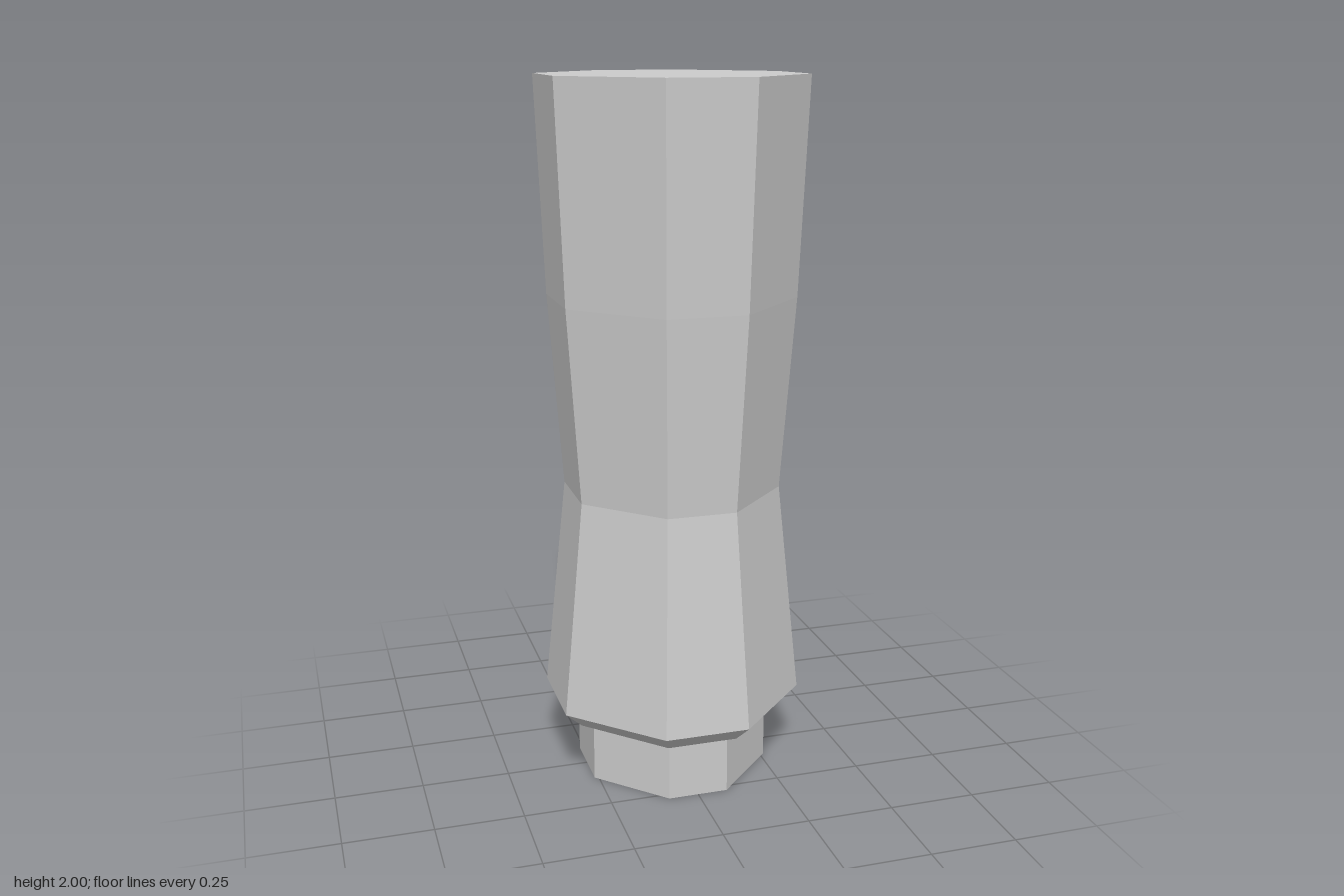
import * as THREE from 'three';

// Eight-sided ring, counter-clockwise from above; flats are narrower than the diagonals
function ring([y, hx, hz, cx, cz]) {
  return [[hx, cz], [hx, -cz], [cx, -hz], [-cx, -hz], [-hx, -cz], [-hx, cz], [-cx, hz], [cx, hz]]
    .map(([x, z]) => new THREE.Vector3(x, y, z));
}

// Closed faceted solid through a stack of rings, bottom to top
function loft(name, sections) {
  const rings = sections.map(ring);
  const points = [];
  const n = rings[0].length;
  for (let r = 0; r < rings.length - 1; r++) {
    const a = rings[r], b = rings[r + 1];
    for (let i = 0; i < n; i++) {
      const j = (i + 1) % n;
      points.push(a[i], a[j], b[j], a[i], b[j], b[i]);
    }
  }
  const bottom = rings[0], top = rings[rings.length - 1];
  for (let i = 1; i < n - 1; i++) {
    points.push(bottom[0], bottom[i + 1], bottom[i], top[0], top[i], top[i + 1]);
  }
  const geometry = new THREE.BufferGeometry().setFromPoints(points);
  geometry.computeVertexNormals();
  const mesh = new THREE.Mesh(geometry, new THREE.MeshStandardMaterial({ color: 0xcccccc, flatShading: true }));
  mesh.name = name;
  return mesh;
}

export function createModel() {
  const group = new THREE.Group();
  group.name = 'grip';

  // Waisted handle with a chamfered lower edge: [y, halfX, halfZ, flatX, flatZ]
  group.add(loft('handle', [
    [0.18, 0.3, 0.312, 0.1, 0.11],
    [0.23, 0.351, 0.362, 0.12, 0.132],
    [0.85, 0.29, 0.299, 0.098, 0.109],
    [1.4, 0.328, 0.338, 0.112, 0.123],
    [2, 0.351, 0.362, 0.12, 0.132],
  ]));

  // Narrow straight peg at the foot
  group.add(loft('peg', [
    [0, 0.262, 0.274, 0.086, 0.096],
    [0.18, 0.262, 0.274, 0.086, 0.096],
  ]));

  return group;
}
